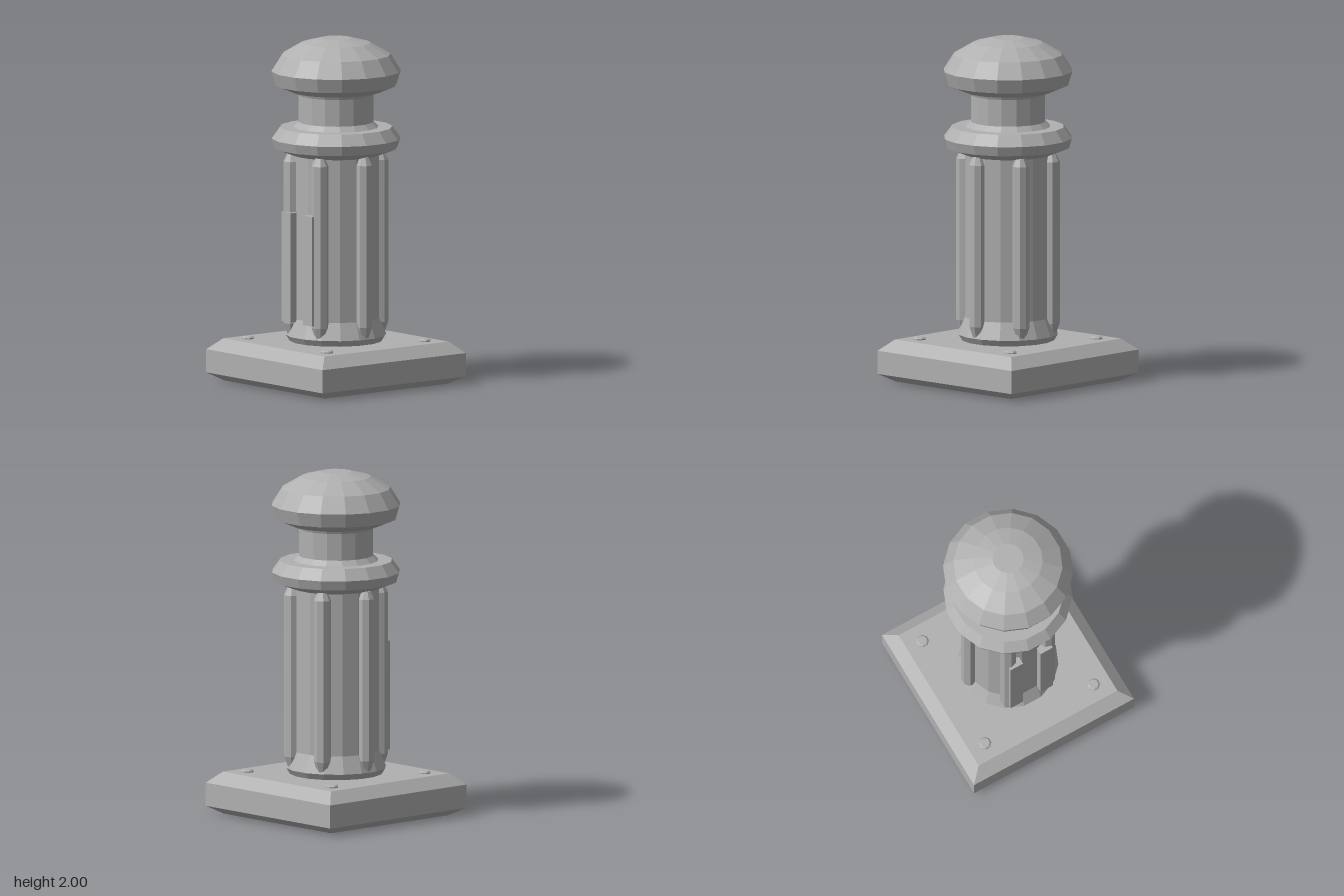
import * as THREE from 'three';

const stone = new THREE.MeshStandardMaterial({ color: 0xb0b0b0, flatShading: true });
stone.name = 'grey stone';

function add(parent, name, geometry, x = 0, y = 0, z = 0) {
  const mesh = new THREE.Mesh(geometry, stone);
  mesh.name = name;
  mesh.position.set(x, y, z);
  parent.add(mesh);
  return mesh;
}

// Faceted solid of revolution from [radius, height] pairs, bottom to top
function turned(profile, sides) {
  const points = profile.map(([r, y]) => new THREE.Vector2(r, y));
  return new THREE.LatheGeometry(points, sides, Math.PI / sides);
}

export function createModel() {
  const model = new THREE.Group();
  model.name = 'bollard';

  // Square base with bevelled top and bottom edges
  const base = [[0, 0], [0.455, 0], [0.53, 0.045], [0.53, 0.18], [0.46, 0.245], [0, 0.245]];
  add(model, 'base', turned(base.map(([r, y]) => [r * Math.SQRT2, y]), 4));

  // Corner bolts
  for (const x of [-0.36, 0.36]) {
    for (const z of [-0.36, 0.36]) {
      add(model, 'bolt', turned([[0.037, 0.24], [0.037, 0.252], [0.028, 0.26], [0, 0.26]], 8), x, 0, z);
    }
  }

  // Shaft with a flared foot
  add(model, 'shaft', turned([[0.265, 0.24], [0.29, 0.28], [0.25, 0.38], [0.25, 1.34]], 16));

  // Six ribs with tapered ends
  for (let i = 0; i < 6; i++) {
    const a = i * Math.PI / 3;
    const rib = turned([[0, 0.28], [0.026, 0.28], [0.05, 0.35], [0.05, 1.29], [0.028, 1.335], [0, 1.335]], 8);
    add(model, 'rib', rib, 0.255 * Math.cos(a), 0, 0.255 * Math.sin(a)).rotation.y = -a;
  }

  // Two front plates
  for (const x of [-0.105, 0.092]) {
    add(model, 'frontPlate', new THREE.BoxGeometry(0.082, 0.635, 0.06), x, 0.682, 0.255);
  }

  // Collar
  add(model, 'collar', turned([
    [0, 1.325], [0.25, 1.325], [0.355, 1.365], [0.372, 1.42], [0.325, 1.485], [0.24, 1.485], [0, 1.485],
  ], 16));

  // Neck
  add(model, 'neck', turned([[0.245, 1.485], [0.216, 1.515], [0.216, 1.67], [0.225, 1.695]], 16));

  // Domed head
  add(model, 'head', turned([
    [0, 1.69], [0.255, 1.69], [0.35, 1.73], [0.374, 1.81], [0.314, 1.905], [0.2, 1.972], [0.09, 2], [0, 2],
  ], 16));

  return model;
}
